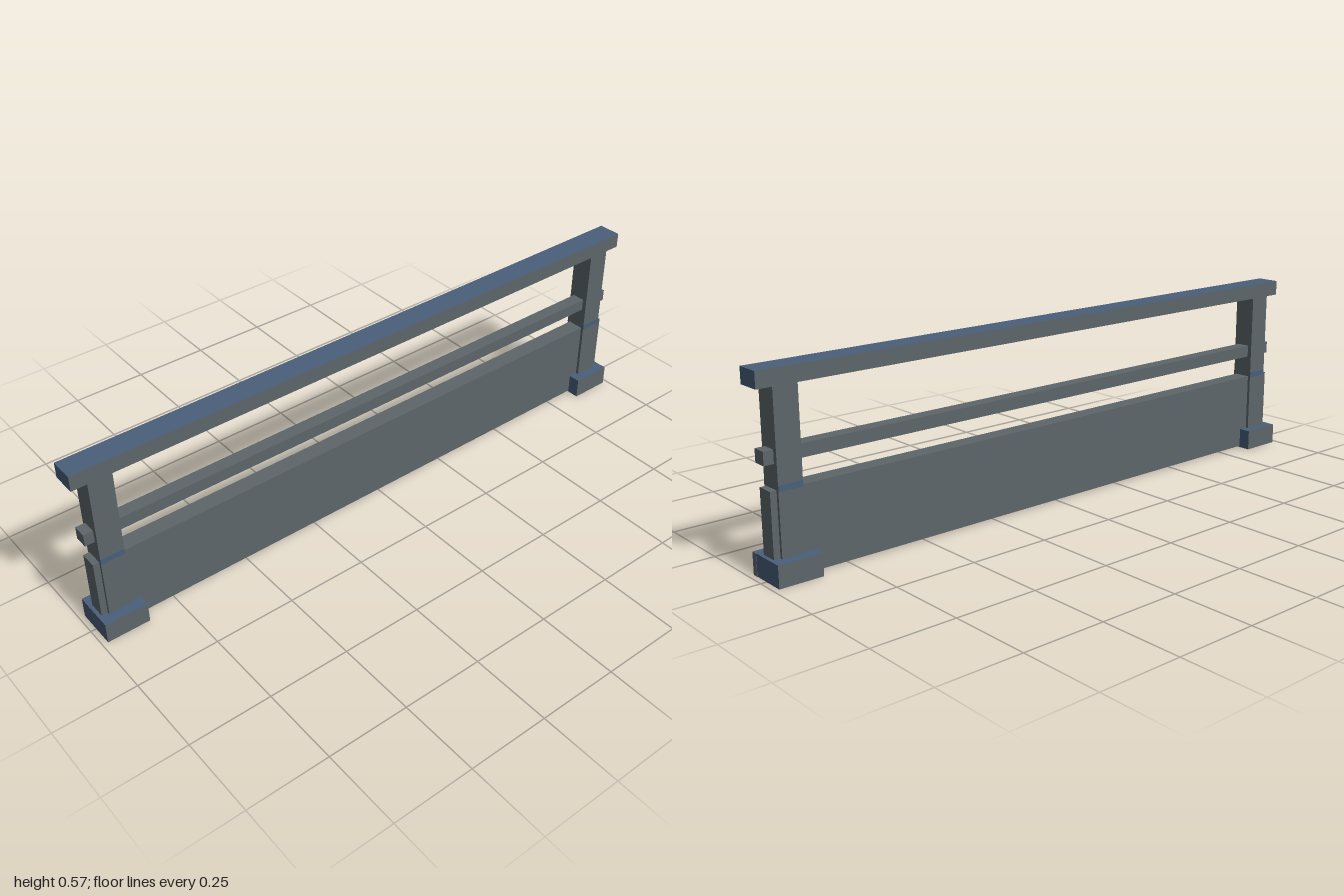
import * as THREE from 'three';

export function createModel() {
  const model = new THREE.Group();
  model.name = 'barrier';

  const grey = new THREE.MeshStandardMaterial({ color: 0x5d666a });
  grey.name = 'weathered grey';
  const blue = new THREE.MeshStandardMaterial({ color: 0x4a5f7a });
  blue.name = 'steel blue';

  // Box from its lower and upper corners; material may be one per side
  // in the order +x, -x, +y, -y, +z, -z.
  function box(name, parent, [x0, y0, z0], [x1, y1, z1], material) {
    const mesh = new THREE.Mesh(new THREE.BoxGeometry(x1 - x0, y1 - y0, z1 - z0), material);
    mesh.position.set((x0 + x1) / 2, (y0 + y1) / 2, (z0 + z1) / 2);
    mesh.name = name;
    parent.add(mesh);
    return mesh;
  }

  // Long horizontal members
  box('topRail', model, [-1, 0.522, -0.037], [1, 0.569, 0.037],
    [blue, blue, blue, blue, grey, grey]);
  box('middleRail', model, [-0.982, 0.318, -0.021], [0.982, 0.356, 0.021], grey);
  box('kickPanel', model, [-0.972, 0.004, -0.026], [0.972, 0.249, 0.026], grey);

  // Posts and feet at both ends
  for (const side of [1, -1]) {
    const end = new THREE.Group();
    end.name = side > 0 ? 'leftEnd' : 'rightEnd';
    model.add(end);
    const cx = 0.917 * side;

    box('post', end, [cx - 0.036, 0.03, -0.035], [cx + 0.036, 0.524, 0.035], grey);
    box('foot', end, [cx - 0.066, 0, -0.065], [cx + 0.066, 0.065, 0.065],
      [blue, blue, blue, grey, grey, grey]);

    // Thin painted band on the front and back of the post
    for (const z of [0.035, -0.035]) {
      box('postBand', end, [cx - 0.036, 0.246, z - 0.001], [cx + 0.036, 0.264, z + 0.001], blue);
    }
  }

  // Bare strip on the outer side of the left foot
  box('footStrip', model, [0.982, 0, 0.047], [0.984, 0.065, 0.065], grey);

  return model;
}
